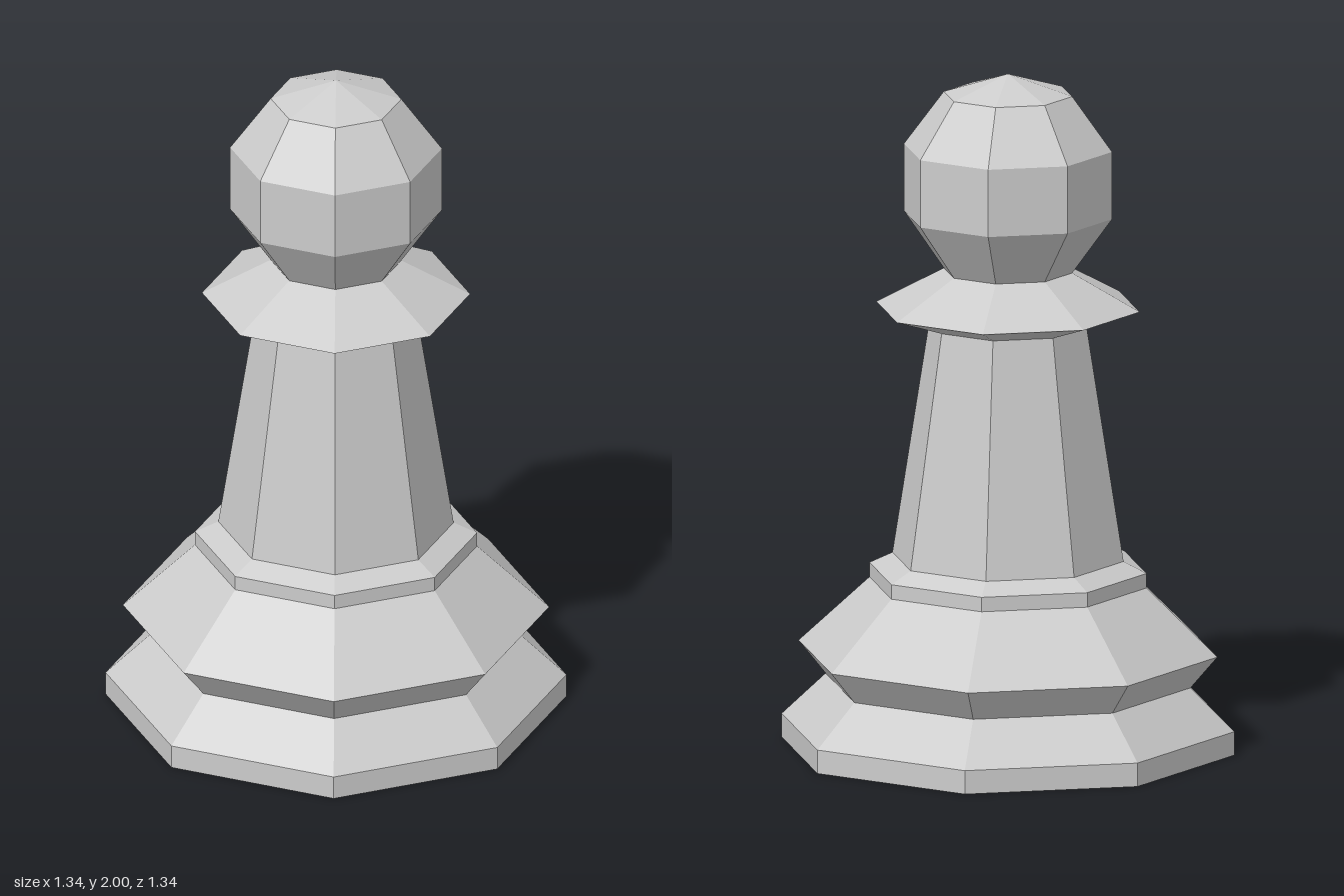
import * as THREE from 'three';

const SIDES = 8;

// Profiles as [radius, height], bottom to top; neighbours share a ring
const PARTS = {
  foot: [[0, 0], [0.67, 0], [0.67, 0.07], [0.54, 0.195]],
  baseFlare: [[0.54, 0.195], [0.62, 0.29], [0.41, 0.487]],
  baseRing: [[0.41, 0.487], [0.41, 0.53], [0.342, 0.563]],
  stem: [[0.342, 0.563], [0.233, 1.255]],
  collar: [[0.233, 1.255], [0.39, 1.307], [0.19, 1.415]],
  head: [[0.19, 1.415], [0.308, 1.58], [0.308, 1.78], [0.19, 1.94], [0, 2]],
};

export function createModel() {
  const group = new THREE.Group();
  group.name = 'chessPawn';
  const material = new THREE.MeshStandardMaterial({ color: 0xcccccc, flatShading: true });

  // Each part is an eight-sided turning with a corner on every axis
  for (const [name, profile] of Object.entries(PARTS)) {
    const points = profile.map(([r, y]) => new THREE.Vector2(r, y));
    const mesh = new THREE.Mesh(new THREE.LatheGeometry(points, SIDES), material);
    mesh.name = name;
    group.add(mesh);
  }
  return group;
}
